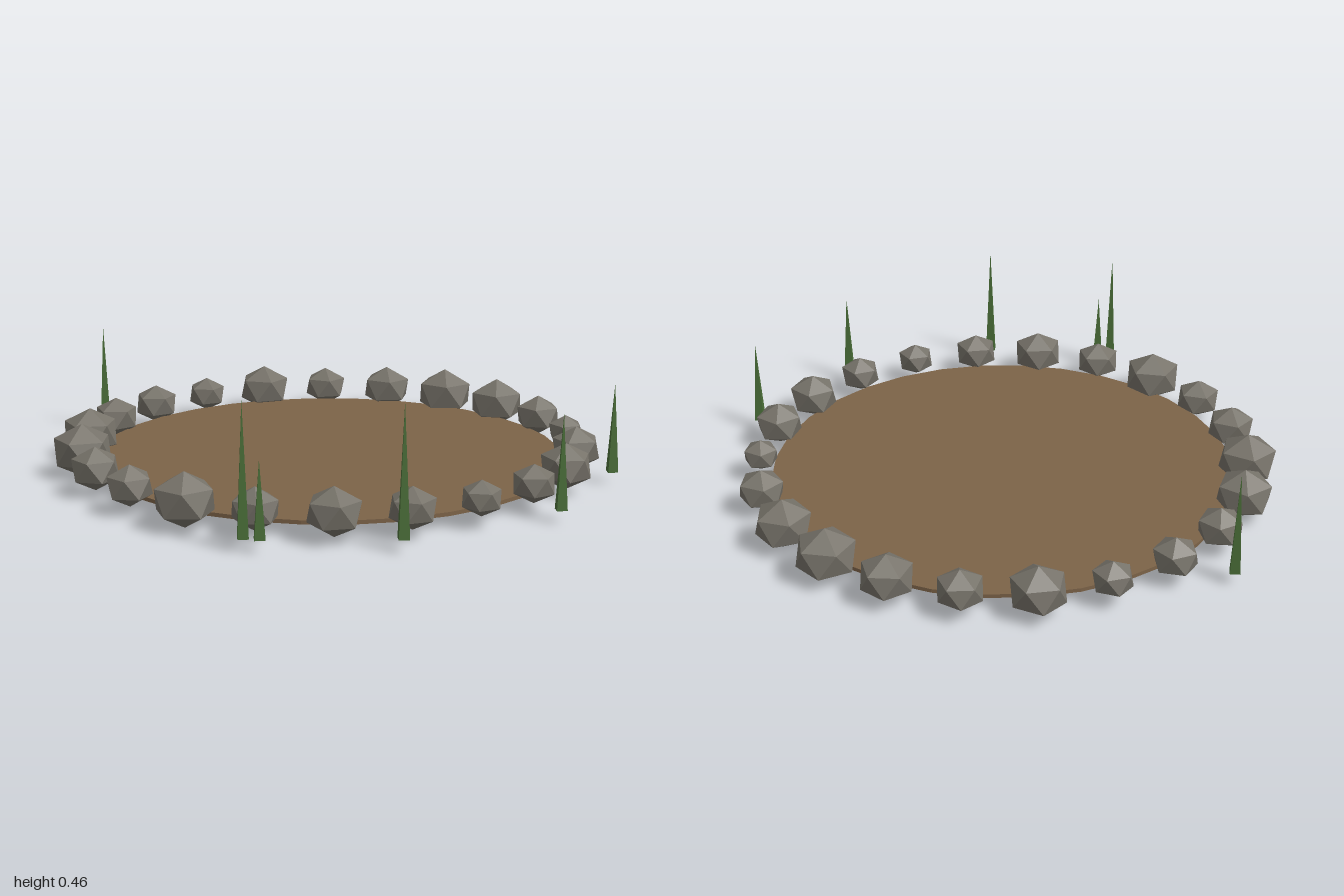
import * as THREE from 'three';

const material = (name, color) => {
  const m = new THREE.MeshStandardMaterial({ color, flatShading: true });
  m.name = name;
  return m;
};

export function createModel() {
  const earth = material('earth brown', 0x7c6348);
  const rock = material('stone grey', 0x77736a);
  const leaf = material('reed green', 0x4a6e38);
  const model = new THREE.Group();
  model.name = 'stoneRing';

  const add = (name, geometry, mat, x, y, z) => {
    const mesh = new THREE.Mesh(geometry, mat);
    mesh.name = name;
    mesh.position.set(x, y, z);
    model.add(mesh);
    return mesh;
  };

  // Thin round floor
  add('floor', new THREE.CylinderGeometry(0.805, 0.805, 0.013, 32), earth, 0, 0.0535, 0);

  // Ring of squashed boulders, standing on a vertex; half-widths run from +x towards +z
  const boulder = new THREE.IcosahedronGeometry(1, 0);
  boulder.rotateX(-Math.atan((1 + Math.sqrt(5)) / 2));
  const halfWidths = [
    0.07, 0.064, 0.075, 0.087, 0.076, 0.098, 0.075, 0.08, 0.1, 0.095, 0.076,
    0.075, 0.067, 0.092, 0.076, 0.087, 0.1, 0.096, 0.078, 0.06, 0.082, 0.085,
  ];
  halfWidths.forEach((w, i) => {
    const a = (i / halfWidths.length) * Math.PI * 2;
    const stone = add('boulder', boulder, rock, 0.846 * Math.cos(a), 0.102, 0.846 * Math.sin(a));
    const r = w / 0.92;
    stone.scale.set(r, r * 0.85, r);
    stone.rotation.y = i * 2.4;
  });

  // Four-sided reed spikes outside the ring: x, z, top height
  const reeds = [
    [-0.975, 0.14, 0.4], [0.41, 0.888, 0.47], [0.456, 0.865, 0.295],
    [0.778, 0.587, 0.465], [0.975, 0.04, 0.355], [0.866, -0.442, 0.35],
  ];
  for (const [x, z, top] of reeds) {
    const h = top - 0.05;
    add('reed', new THREE.ConeGeometry(0.024, h, 4), leaf, x, 0.05 + h / 2, z);
  }

  return model;
}
